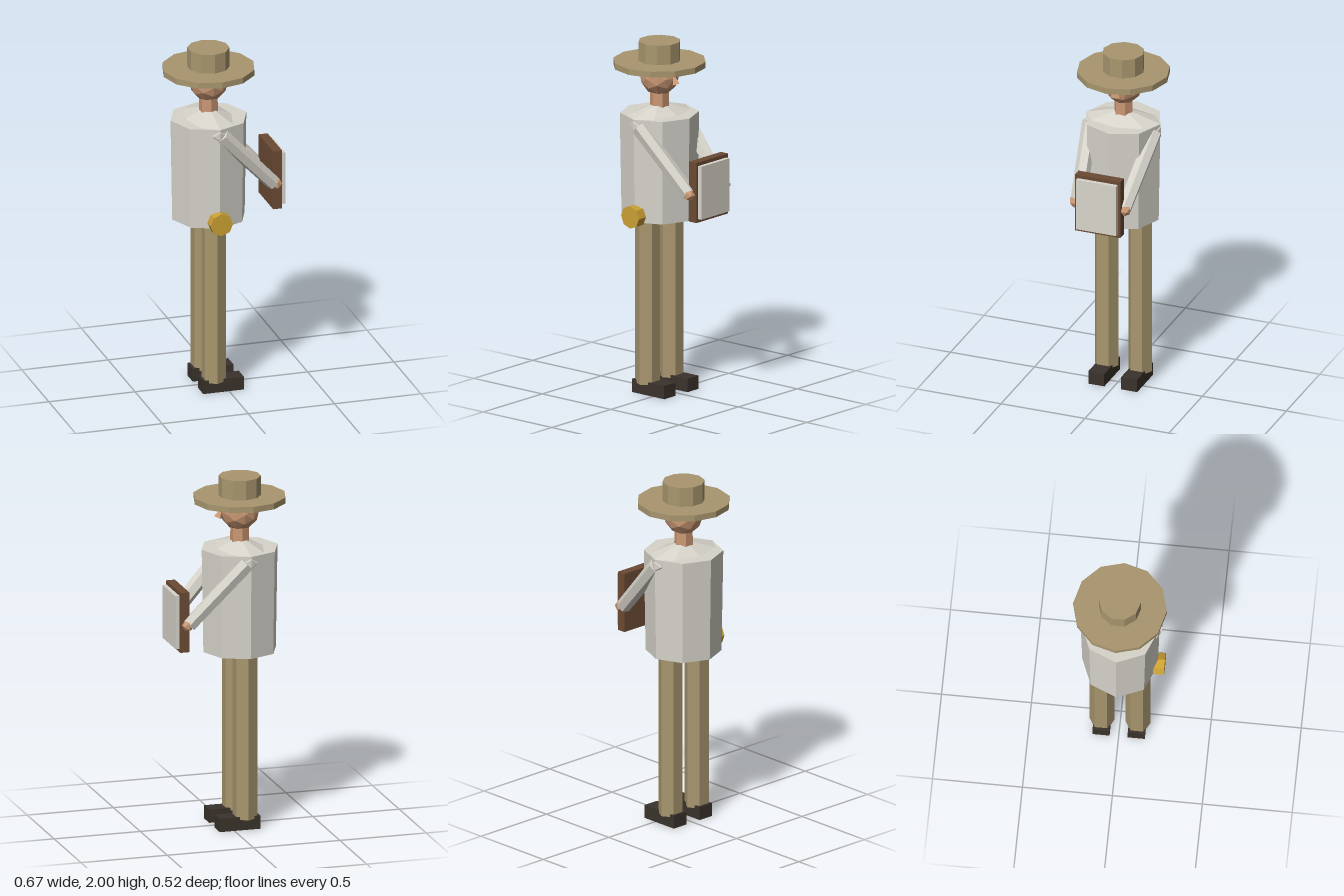
import * as THREE from 'three';

const paint = (name, color) => {
  const m = new THREE.MeshStandardMaterial({ color, flatShading: true });
  m.name = name;
  return m;
};

export function createModel() {
  const khaki = paint('khaki', 0xa8966e);
  const shirt = paint('shirt', 0xd6d3ca);
  const skin = paint('skin', 0xcb9874);
  const wood = paint('wood', 0x6b4a34);
  const paper = paint('paper', 0xd8d5cb);
  const brass = paint('brass', 0xcba034);
  const leather = paint('leather', 0x3b332c);
  const dark = paint('dark', 0x1c1815);

  const model = new THREE.Group();
  model.name = 'walkingSketcher';
  const CX = -0.075; // body axis; the figure faces +x

  const add = (name, geometry, material, x, y, z) => {
    const mesh = new THREE.Mesh(geometry, material);
    mesh.name = name;
    mesh.position.set(x, y, z);
    model.add(mesh);
    return mesh;
  };
  const cyl = (top, bottom, height, sides) => new THREE.CylinderGeometry(top, bottom, height, sides);
  const box = (x, y, z) => new THREE.BoxGeometry(x, y, z);
  const ball = (r, detail = 0) => new THREE.IcosahedronGeometry(r, detail);

  // Straight limb between two points
  const limb = (name, a, b, r0, r1, sides, material) => {
    const dir = b.clone().sub(a);
    const mid = a.clone().add(b).multiplyScalar(0.5);
    const mesh = add(name, cyl(r1, r0, dir.length(), sides), material, mid.x, mid.y, mid.z);
    mesh.quaternion.setFromUnitVectors(new THREE.Vector3(0, 1, 0), dir.normalize());
  };

  // Torso and sloping shoulders
  add('torso', cyl(0.22, 0.21, 0.59, 8), shirt, CX, 1.295, 0);
  add('shoulders', cyl(0.06, 0.22, 0.045, 8).scale(0.6, 1, 1), shirt, CX, 1.6125, 0);

  // Neck, head and hat
  add('neck', cyl(0.052, 0.055, 0.16, 6), skin, CX, 1.65, 0);
  add('head', ball(0.11, 1), skin, CX, 1.8, 0);
  add('hatBrim', cyl(0.26, 0.26, 0.034, 12), khaki, CX, 1.872, 0);
  add('hatCrown', cyl(0.118, 0.118, 0.12, 10), khaki, CX, 1.94, 0);

  // Nose, one edge pointing forwards
  add('nose', new THREE.ConeGeometry(0.028, 0.06, 4).rotateZ(0.35), skin, 0.037, 1.797, 0);

  for (const s of [1, -1]) {
    add('eye', new THREE.ConeGeometry(0.016, 0.026, 4), dark, 0.03, 1.833, s * 0.047);

    // Arms reaching forwards to the board
    const shoulder = new THREE.Vector3(-0.06, 1.545, s * 0.19);
    const wrist = new THREE.Vector3(0.26, 1.205, s * 0.138);
    limb('arm', shoulder, wrist, 0.046, 0.042, 6, shirt);
    add('shoulderJoint', ball(0.046), shirt, -0.075, 1.55, s * 0.185);
    add('hand', ball(0.034), skin, 0.272, 1.205, s * 0.15);

    // Legs and shoes
    add('leg', cyl(0.07, 0.07, 0.95, 6), khaki, CX, 0.535, s * 0.1);
    add('shoe', box(0.235, 0.076, 0.095), leather, -0.0325, 0.038, s * 0.098);
  }

  // Sketch board with its paper block
  add('board', box(0.052, 0.344, 0.27), wood, 0.284, 1.22, 0);
  add('paperBlock', box(0.025, 0.304, 0.24), paper, 0.3215, 1.22, 0);

  // Flask at the hip
  add('flask', cyl(0.065, 0.065, 0.06, 8).rotateX(Math.PI / 2), brass, CX, 1.036, 0.22);

  return model;
}
